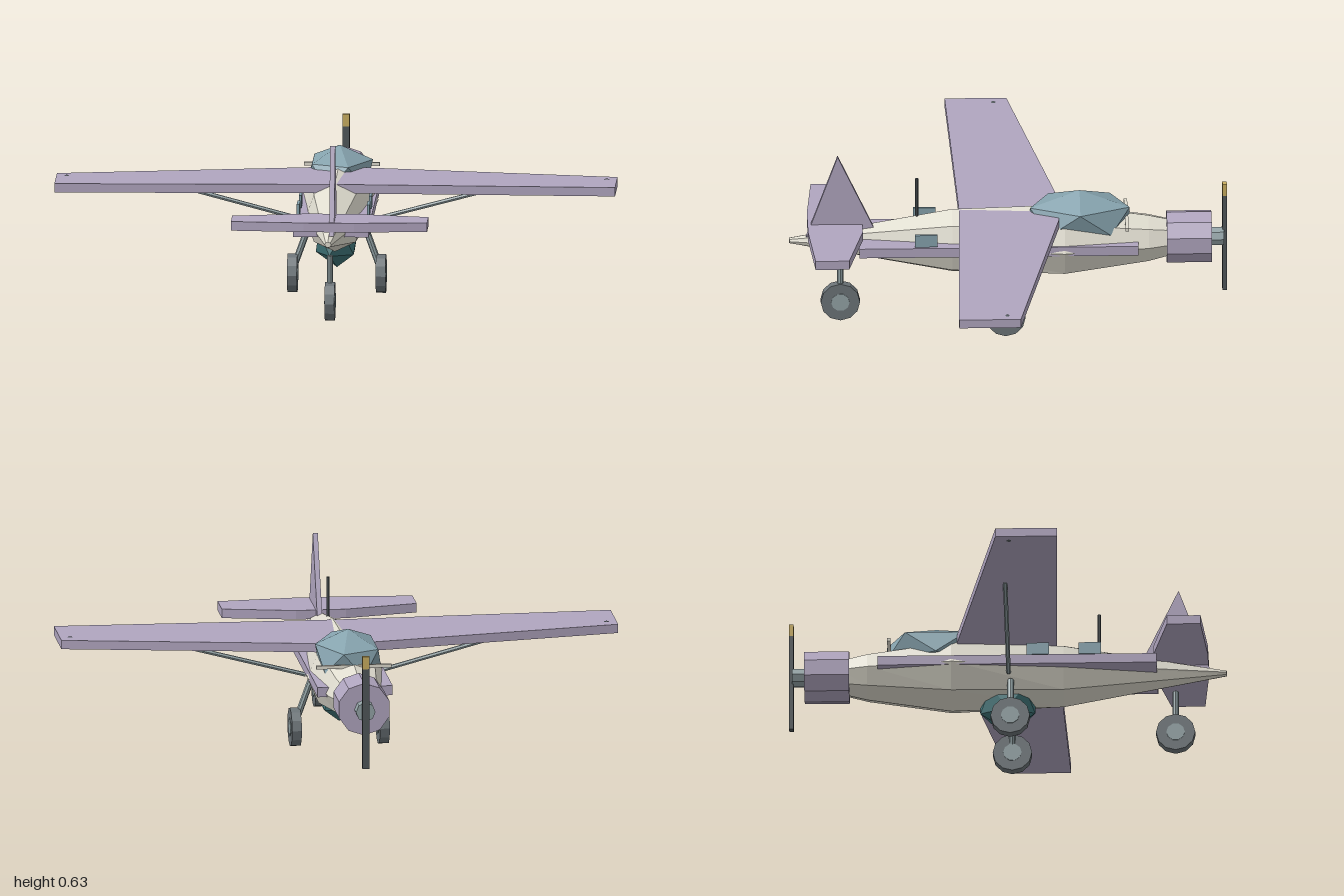
import * as THREE from 'three';
import { ConvexGeometry } from 'three/addons/geometries/ConvexGeometry.js';

const material = (color) => new THREE.MeshStandardMaterial({ color, flatShading: true });
const cream = material(0xe0ddd0);
const mauve = material(0xb0a5bf);
const glass = material(0x86a3ae);
const teal = material(0x3f7478);
const rubber = material(0x6c7478);
const metal = material(0x93a3a6);
const dark = material(0x50575a);
const yellow = material(0xc9ae60);

export function createModel() {
  const model = new THREE.Group();

  const add = (name, geometry, mat, x = 0, y = 0, z = 0) => {
    const mesh = new THREE.Mesh(geometry, mat);
    mesh.name = name;
    mesh.position.set(x, y, z);
    model.add(mesh);
    return mesh;
  };
  const box = (name, mat, w, h, d, x, y, z) => add(name, new THREE.BoxGeometry(w, h, d), mat, x, y, z);

  // Round bar between two points
  const rod = (name, mat, radius, from, to, sides = 8) => {
    const a = new THREE.Vector3(...from), b = new THREE.Vector3(...to);
    const mesh = add(name, new THREE.CylinderGeometry(radius, radius, a.distanceTo(b), sides), mat);
    mesh.position.copy(a).add(b).multiplyScalar(0.5);
    mesh.quaternion.setFromUnitVectors(new THREE.Vector3(0, 1, 0), b.sub(a).normalize());
    return mesh;
  };

  // Flat plate cut from an outline of (x, z) points, lying level around height y
  const plate = (name, outline, thickness, y) => {
    const shape = new THREE.Shape(outline.map(([x, z]) => new THREE.Vector2(x, -z)));
    const geometry = new THREE.ExtrudeGeometry(shape, { depth: thickness, bevelEnabled: false });
    geometry.rotateX(-Math.PI / 2).translate(0, -thickness / 2, 0);
    return add(name, geometry, mauve, 0, y, 0);
  };
  const mirrored = (half) => [...half, ...half.filter(([x]) => x > 0).reverse().map(([x, z]) => [-x, z])];

  // Twenty-sided faceted ball standing on a point, stretched along each axis
  const facetedBall = (name, mat, rx, ry, rz, y, z) => {
    const points = [new THREE.Vector3(0, ry, 0), new THREE.Vector3(0, -ry, 0)];
    for (let i = 0; i < 10; i++) {
      const a = (i * Math.PI) / 5;
      const h = i % 2 ? -0.447 : 0.447;
      points.push(new THREE.Vector3(0.894 * rx * Math.cos(a), h * ry, 0.894 * rz * Math.sin(a)));
    }
    return add(name, new ConvexGeometry(points), mat, 0, y, z);
  };

  // Fuselage: eight-sided sections [z, centre height, half width, half height]
  const sections = [
    [0.78, 0.305, 0.012, 0.01],
    [0.2, 0.3, 0.105, 0.12],
    [-0.2, 0.3, 0.14, 0.132],
    [-0.5, 0.302, 0.1, 0.086],
    [-0.6, 0.304, 0.07, 0.062],
  ];
  const sides = 8, positions = [], index = [];
  for (const [z, cy, rx, ry] of sections) {
    for (let i = 0; i < sides; i++) {
      const a = (i * 2 * Math.PI) / sides;
      positions.push(rx * Math.cos(a), cy + ry * Math.sin(a), z);
    }
  }
  for (let s = 0; s < sections.length - 1; s++) {
    for (let i = 0; i < sides; i++) {
      const a = s * sides + i, b = s * sides + ((i + 1) % sides);
      index.push(a, a + sides, b, b, a + sides, b + sides);
    }
  }
  const last = (sections.length - 1) * sides;
  for (let i = 1; i < sides - 1; i++) {
    index.push(0, i, i + 1, last, last + i + 1, last + i);
  }
  const body = new THREE.BufferGeometry();
  body.setAttribute('position', new THREE.Float32BufferAttribute(positions, 3));
  body.setIndex(index);
  const bodyFlat = body.toNonIndexed();
  bodyFlat.computeVertexNormals();
  add('fuselage', bodyFlat, cream);

  // Side band along the fuselage
  box('sideBand', mauve, 0.27, 0.035, 0.995, 0, 0.308, 0.035);

  // Wing and tailplane
  plate('wing', mirrored([[0, 0.175], [1, 0.2], [1, -0.02], [0.1, -0.18]]), 0.032, 0.403);
  plate('tailplane', mirrored([[0.09, 0.715], [0.35, 0.695], [0.35, 0.575], [0.09, 0.52]]), 0.033, 0.356);

  // Fin: upright triangle
  const finShape = new THREE.Shape([
    new THREE.Vector2(-0.72, 0.325), new THREE.Vector2(-0.48, 0.36), new THREE.Vector2(-0.608, 0.633),
  ]);
  const finGeometry = new THREE.ExtrudeGeometry(finShape, { depth: 0.018, bevelEnabled: false });
  finGeometry.rotateY(Math.PI / 2);
  add('fin', finGeometry, mauve, 0.001, 0, 0);

  // Canopy and belly pod
  facetedBall('canopy', glass, 0.132, 0.094, 0.209, 0.394, -0.255);
  facetedBall('bellyPod', teal, 0.085, 0.1, 0.115, 0.19, 0);

  // Cowling, hub and propeller
  const cowling = new THREE.CylinderGeometry(0.095, 0.095, 0.16, 10).rotateX(Math.PI / 2);
  add('cowling', cowling, mauve, 0, 0.305, -0.645);
  const hub = new THREE.CylinderGeometry(0.035, 0.035, 0.05, 8).rotateX(Math.PI / 2);
  add('propellerHub', hub, metal, 0, 0.305, -0.745);
  box('propeller', dark, 0.026, 0.365, 0.016, 0, 0.2825, -0.772);
  box('propellerTip', yellow, 0.026, 0.045, 0.016, 0, 0.4875, -0.772);

  // Bar ahead of the canopy and aerial on the back
  box('noseBar', cream, 0.27, 0.012, 0.012, 0, 0.39, -0.422);
  rod('aerial', dark, 0.006, [0, 0.37, 0.325], [0, 0.54, 0.325], 6);

  // Wheel with hub, axle across the body
  const wheel = (name, x, z) => {
    const tyre = new THREE.CylinderGeometry(0.07, 0.07, 0.035, 12).rotateZ(Math.PI / 2);
    const cap = new THREE.CylinderGeometry(0.033, 0.033, 0.039, 10).rotateZ(Math.PI / 2);
    add(name + 'Tyre', tyre, rubber, x, 0.07, z);
    add(name + 'Hub', cap, metal, x, 0.07, z);
  };
  wheel('tailWheel', 0, 0.598);
  rod('tailWheelLeg', metal, 0.011, [0, 0.08, 0.598], [0, 0.235, 0.598]);

  // Paired parts
  for (const [side, s] of [['left', 1], ['right', -1]]) {
    wheel(side + 'Wheel', s * 0.158, 0.012);
    rod(side + 'WheelLeg', metal, 0.012, [s * 0.158, 0.08, 0.012], [s * 0.1, 0.24, 0.012]);
    rod(side + 'WingStrut', metal, 0.008, [s * 0.12, 0.262, 0.005], [s * 0.61, 0.392, 0.005], 6);
    for (const z of [0.295, 0.11]) {
      box(side + 'Window', glass, 0.01, 0.045, 0.08, s * 0.125, 0.351, z);
    }
    add(side + 'WingLamp', new THREE.IcosahedronGeometry(0.019, 1), dark, s * 0.963, 0.403, 0.027);
  }

  return model;
}
